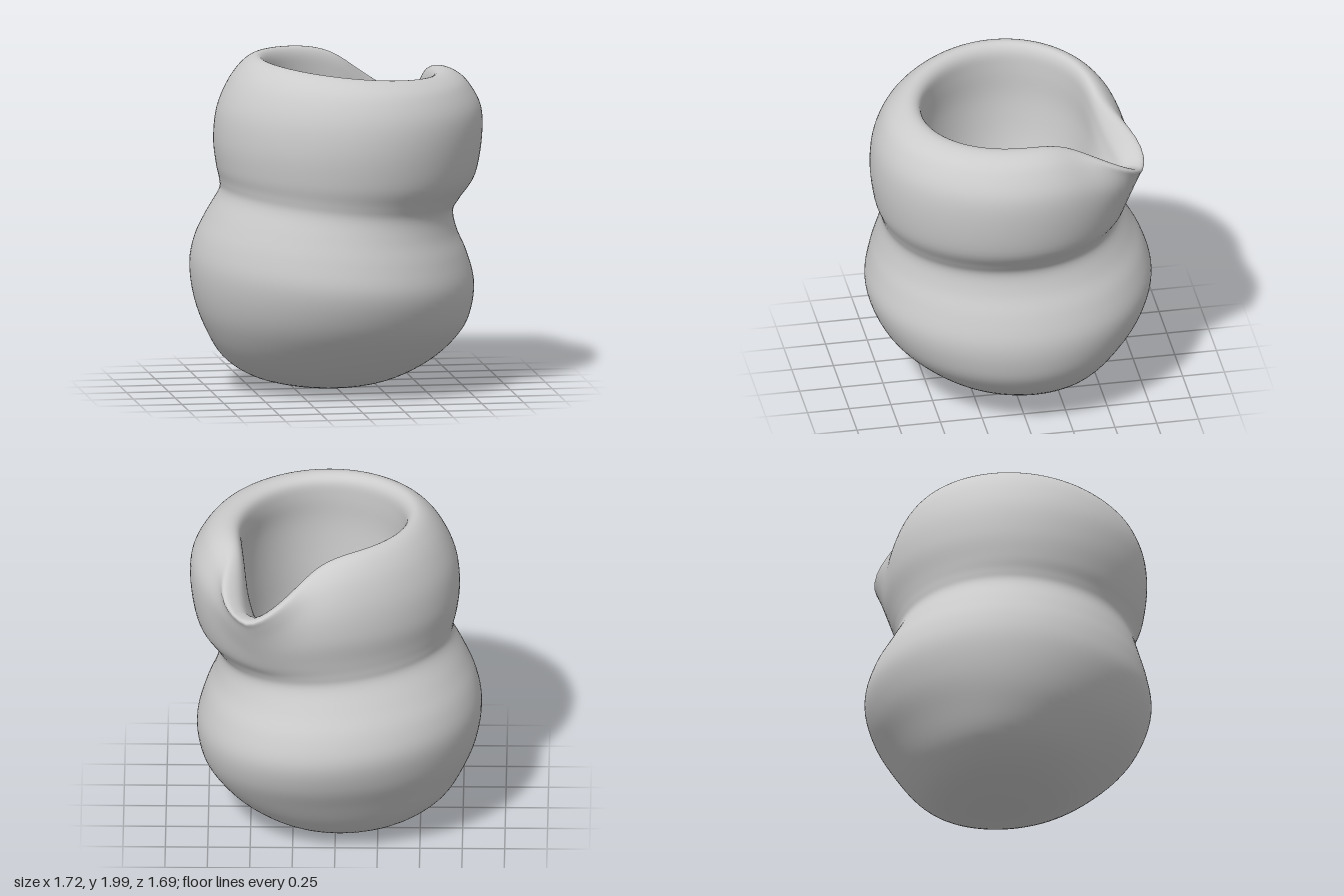
import * as THREE from 'three';
import { mergeVertices } from 'three/addons/utils/BufferGeometryUtils.js';

// Cross-sections: height, x min, x max, z min, z max, sideways tilt, lip pull, channel pull
const outside = [
  [0.0, -0.08, -0.08, -0.1, -0.1, 0, 0, 0],
  [0.02, -0.29, 0.2, -0.31, 0.16, 0, 0, 0],
  [0.08, -0.5, 0.41, -0.465, 0.36, 0, 0, 0],
  [0.2, -0.67, 0.61, -0.585, 0.54, 0, 0, 0],
  [0.37, -0.78, 0.75, -0.7, 0.71, 0.02, 0, 0],
  [0.53, -0.84, 0.805, -0.795, 0.805, 0.04, 0, 0],
  [0.7, -0.86, 0.815, -0.84, 0.85, 0.06, 0, 0],
  [0.86, -0.83, 0.77, -0.8, 0.825, 0.06, 0, 0],
  [1.0, -0.765, 0.71, -0.72, 0.785, 0.07, 0, 0],
  [1.13, -0.695, 0.685, -0.65, 0.755, 0.08, 0, 0],
  [1.21, -0.695, 0.73, -0.65, 0.77, 0.07, 0, 0],
  [1.32, -0.715, 0.815, -0.67, 0.81, 0.04, 0, 0],
  [1.5, -0.73, 0.855, -0.7, 0.835, 0, 0.01, 0],
  [1.68, -0.71, 0.85, -0.69, 0.82, 0, 0.06, 0],
  [1.83, -0.64, 0.78, -0.64, 0.76, 0.02, 0.15, 0],
  [1.92, -0.55, 0.71, -0.57, 0.68, 0.06, 0.23, 0.01],
];
const inside = [
  [1.95, -0.47, 0.63, -0.5, 0.6, 0.08, 0.14, 0.16],
  [1.91, -0.42, 0.57, -0.46, 0.54, 0.07, 0.02, 0.26],
  [1.8, -0.41, 0.55, -0.45, 0.53, 0.05, 0, 0.23],
  [1.6, -0.41, 0.56, -0.45, 0.54, 0, 0, 0.12],
  [1.3, -0.37, 0.55, -0.41, 0.53, 0, 0, 0.02],
  [1.0, -0.28, 0.52, -0.31, 0.52, 0, 0, 0],
  [0.78, -0.15, 0.45, -0.16, 0.46, 0, 0, 0],
  [0.68, 0.01, 0.32, 0.01, 0.33, 0, 0, 0],
  [0.66, 0.16, 0.16, 0.17, 0.17, 0, 0, 0],
];

const LIP = THREE.MathUtils.degToRad(58);
const CHANNEL = THREE.MathUtils.degToRad(55);
const DIP = THREE.MathUtils.degToRad(60);
const SEGMENTS = 120;
const STEPS = 5;

// Smooth interpolation of one column of the section table
function catmullRom(a, b, c, d, t) {
  const v0 = (c - a) / 2, v1 = (d - b) / 2;
  return (2 * b - 2 * c + v0 + v1) * t ** 3 + (3 * c - 3 * b - 2 * v0 - v1) * t ** 2 + v0 * t + b;
}

function smoothSections(rows) {
  const at = (i) => rows[THREE.MathUtils.clamp(i, 0, rows.length - 1)];
  const result = [];
  for (let i = 0; i < rows.length - 1; i++) {
    for (let s = 0; s < STEPS; s++) {
      result.push(rows[i].map((_, k) =>
        catmullRom(at(i - 1)[k], at(i)[k], at(i + 1)[k], at(i + 2)[k], s / STEPS)));
    }
  }
  result.push(rows[rows.length - 1]);
  return result;
}

// Bump around a direction: 1 at its centre, fading to 0 on both sides
function bump(angle, centre, width, power) {
  const off = Math.abs(Math.atan2(Math.sin(angle - centre), Math.cos(angle - centre)));
  return Math.exp(-((off / width) ** power));
}

// A point on one section, with the lip pulled out and down at the spout
function sectionPoint([h, x0, x1, z0, z1, tilt, lip, channel], angle) {
  const pull = lip * bump(angle, LIP, 0.34, 2.8) + channel * bump(angle, CHANNEL, 0.3, 1.4);
  // The whole body leans slightly towards the spout on the diagonal
  const skew = 1 + 0.035 * Math.sin(2 * angle) * Math.cos(angle - Math.PI / 4);
  const c = Math.cos(angle), s = -Math.sin(angle);
  const x = (x0 + x1) / 2 + (((x1 - x0) / 2) * skew + pull) * c;
  const z = (z0 + z1) / 2 + (((z1 - z0) / 2) * skew + pull) * s;
  const drop = 0.3 * bump(angle, DIP, 0.37, 1.6) * Math.max(0, (h - 1.2) / 0.75);
  return [x, h - tilt * (x + 0.4 * z) - drop, z];
}

function jugGeometry() {
  const sections = smoothSections([...outside, ...inside]);
  const positions = [], indices = [];
  sections.forEach((section, i) => {
    for (let j = 0; j < SEGMENTS; j++) {
      positions.push(...sectionPoint(section, (j / SEGMENTS) * Math.PI * 2));
      if (i === sections.length - 1) continue;
      const a = i * SEGMENTS + j, b = i * SEGMENTS + ((j + 1) % SEGMENTS);
      indices.push(a, b, a + SEGMENTS, b, b + SEGMENTS, a + SEGMENTS);
    }
  });
  let geometry = new THREE.BufferGeometry();
  geometry.setAttribute('position', new THREE.Float32BufferAttribute(positions, 3));
  geometry.setIndex(indices);
  geometry = mergeVertices(geometry, 1e-5);
  geometry.computeVertexNormals();
  return geometry;
}

export function createModel() {
  const group = new THREE.Group();
  group.name = 'jug';
  // Two-lobed body, thick rim, pinched spout and hollow in one skin
  const body = new THREE.Mesh(
    jugGeometry(),
    new THREE.MeshStandardMaterial({ color: 0xcccccc, side: THREE.DoubleSide }),
  );
  body.name = 'jugBody';
  group.add(body);
  return group;
}
